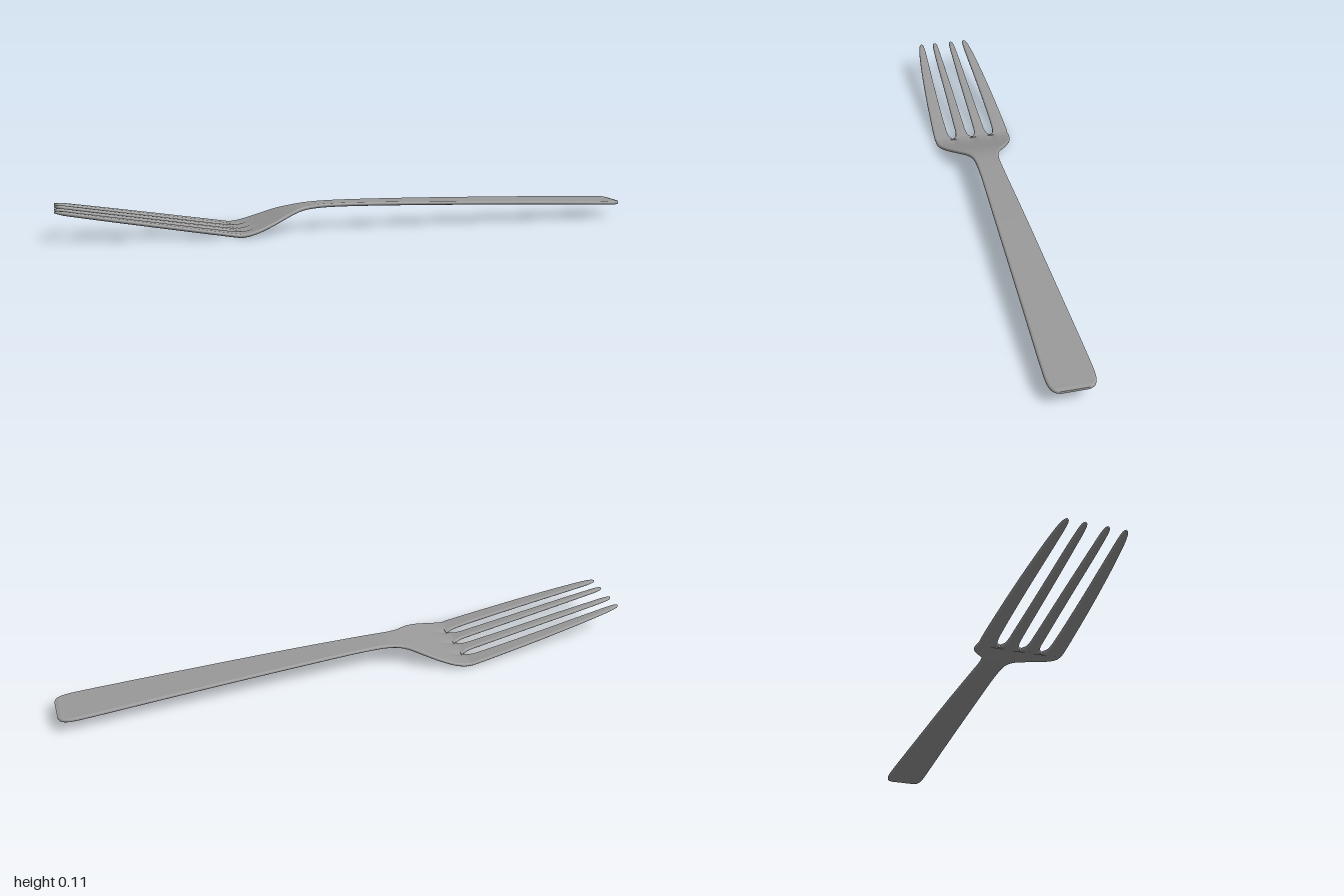
import * as THREE from 'three';

const material = new THREE.MeshStandardMaterial({ color: 0x9a9a9a });
const ARC = 6; // segments around each rounded edge

// Skin a flat bar with rounded edges over stations { x, y, z, w, h } (w, h are half sizes).
// flats is the number of segments across each face, pinch(x, z) thins the bar locally.
function loft(name, rows, flats = 1, pinch = () => 1) {
  const stations = [rows[0], ...rows, rows[rows.length - 1]]; // doubled ends keep the caps crisp
  const pos = [], index = [], n = 2 * (ARC + flats);
  for (const { x, y, z, w, h } of stations) {
    const r = Math.min(w, h);
    const add = (dz, dy) => pos.push(x, y + dy * pinch(x, z + dz), z + dz);
    for (const s of [1, -1]) {
      for (let k = 0; k <= ARC; k++) {
        const a = -Math.PI / 2 + (k / ARC) * Math.PI;
        add(s * (w - r + r * Math.cos(a)), s * h * Math.sin(a));
      }
      for (let k = 1; k < flats; k++) add(s * (w - r) * (1 - 2 * k / flats), s * h);
    }
  }
  const last = stations.length - 1;
  for (let i = 1; i < last - 1; i++) {
    for (let j = 0; j < n; j++) {
      const a = i * n + j, b = i * n + (j + 1) % n;
      index.push(a, a + n, b, b, a + n, b + n);
    }
  }
  // End caps
  for (let j = 1; j < n - 1; j++) {
    index.push(0, j, j + 1);
    index.push(last * n, last * n + j + 1, last * n + j);
  }
  const geometry = new THREE.BufferGeometry();
  geometry.setAttribute('position', new THREE.Float32BufferAttribute(pos, 3));
  geometry.setIndex(index);
  geometry.computeVertexNormals();
  const mesh = new THREE.Mesh(geometry, material);
  mesh.name = name;
  return mesh;
}

// Smooth samples through rows of three numbers
const smooth = (rows, count) =>
  new THREE.CatmullRomCurve3(rows.map((r) => new THREE.Vector3(...r))).getPoints(count);

// Tines rise in a straight line from the heel to the tips
const tineHeight = (x) => 0.007 + ((-0.41 - x) / 0.59) * 0.097;

// Hollows that run from the three slot ends into the palm, on both faces
function slotHollow(x, z) {
  const fade = 1 - THREE.MathUtils.smoothstep(x, -0.41, -0.32);
  let depth = 0;
  for (const slot of [-0.071, 0, 0.071]) depth += Math.exp(-(((z - slot) / 0.012) ** 2));
  return 1 - 0.75 * fade * depth;
}

export function createModel() {
  const group = new THREE.Group();
  group.name = 'fork';

  // Handle, neck and palm: x, height, half width
  const body = smooth([
    [-0.41, 0.007, 0.139], [-0.385, 0.01, 0.139], [-0.35, 0.019, 0.134], [-0.3, 0.037, 0.118],
    [-0.25, 0.056, 0.093], [-0.2, 0.071, 0.06], [-0.17, 0.077, 0.049], [-0.13, 0.081, 0.044],
    [-0.05, 0.083, 0.044], [0.2, 0.079, 0.052], [0.6, 0.067, 0.064], [0.9, 0.056, 0.073],
    [0.95, 0.054, 0.073], [0.975, 0.053, 0.069], [0.992, 0.053, 0.06], [1, 0.053, 0.045],
  ], 140).map((p) => ({
    x: p.x, y: p.y, z: 0, w: p.z,
    h: 0.0065 * Math.min(1, 0.6 + (1 - p.x) * 30),
  }));
  group.add(loft('handleAndPalm', body, 48, slotHollow));

  // Tines: x, inner edge, outer edge; the edges flare at the root to round the slot ends
  const tines = {
    innerTine: [
      [-1, 0.031, 0.036], [-0.995, 0.027, 0.041], [-0.975, 0.024, 0.044], [-0.9, 0.022, 0.047],
      [-0.7, 0.019, 0.05], [-0.5, 0.017, 0.054], [-0.44, 0.015, 0.056], [-0.42, 0.01, 0.061],
      [-0.41, 0.002, 0.069], [-0.4, 0, 0.071],
    ],
    outerTine: [
      [-1, 0.086, 0.091], [-0.995, 0.082, 0.096], [-0.975, 0.08, 0.102], [-0.9, 0.081, 0.112],
      [-0.7, 0.086, 0.128], [-0.5, 0.088, 0.138], [-0.44, 0.086, 0.14], [-0.42, 0.081, 0.14],
      [-0.41, 0.073, 0.139], [-0.4, 0.071, 0.139],
    ],
  };
  for (const [name, rows] of Object.entries(tines)) {
    for (const side of [1, -1]) {
      const stations = smooth(rows, 60).map((p) => ({
        x: p.x, y: tineHeight(Math.min(p.x, -0.41)), z: side * (p.y + p.z) / 2, w: (p.z - p.y) / 2,
        h: 0.0065 * Math.min(1, 0.5 + (p.x + 1) * 20),
      }));
      group.add(loft(name + (side > 0 ? 'Front' : 'Back'), stations));
    }
  }
  return group;
}
